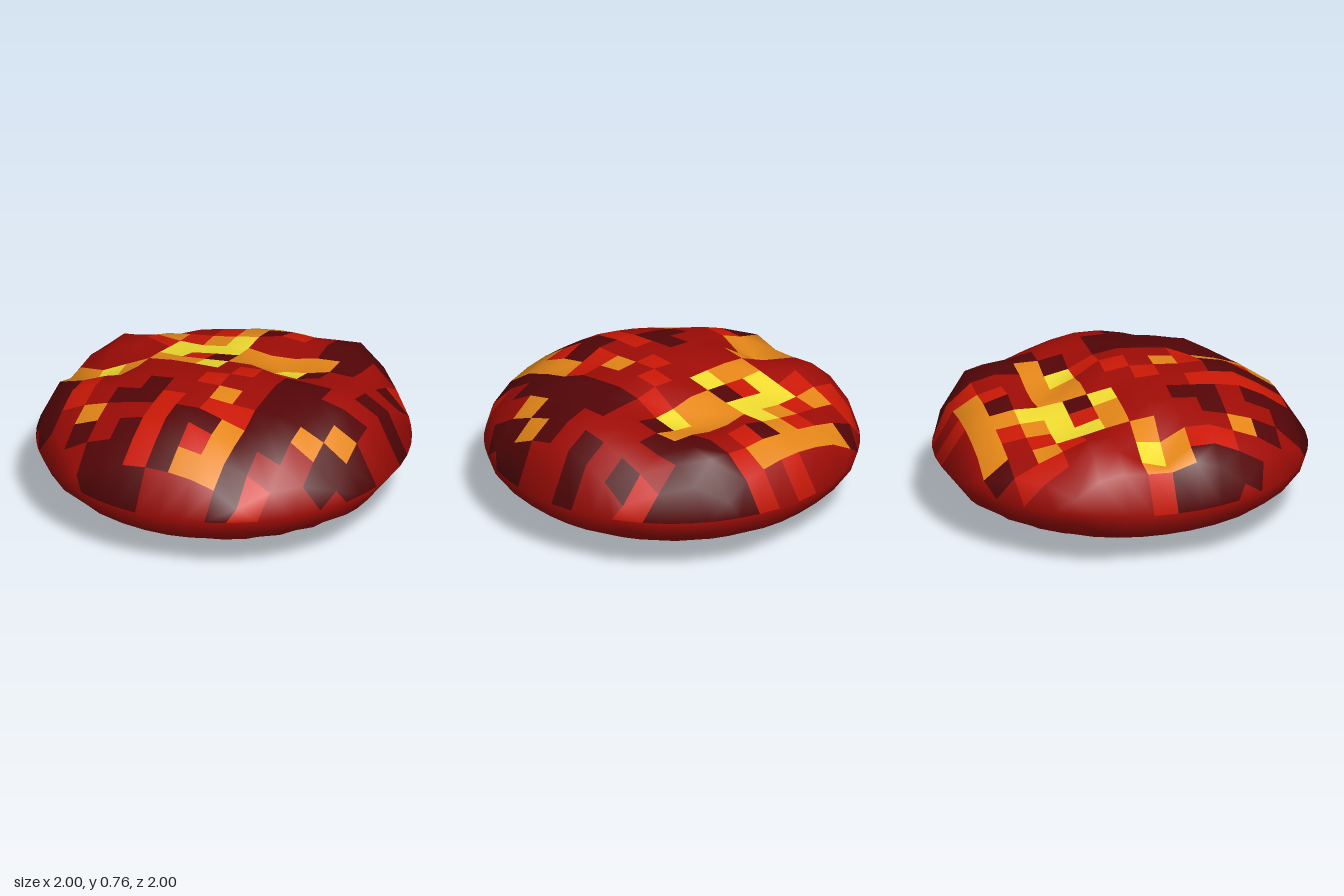
import * as THREE from 'three';

const N = 15;            // cells per side
const RIM = 0.34;        // height of the rim
const TOP = 0.42;        // rise of the crust above the rim

// One letter per crust cell, back row first: d dark, r red, b bright, o orange, y yellow
const PATTERN = [
  'rrrrrrrbrbddddd',
  'rrrdooooobddddd',
  'rrbrrbodbrddddd',
  'rrboboyrrrddrbb',
  'rrrbyyyoooodrdr',
  'rrrrybdooydrrrr',
  'rrrrooyrrbrrrdd',
  'boyorrrrbrddrrr',
  'doorrrrbrrddddr',
  'ddbrrdrrordddod',
  'ddbrddbrbbddodd',
  'rdrorrbddoddrdr',
  'rrrdrdbdbodrrrr',
  'rrrrddbdoodbrrr',
  'rrrrdddrrrdbrrr',
];
const COLORS = {
  d: ['darkCrust', 0x540507],
  r: ['redCrust', 0xa00c06],
  b: ['brightCrust', 0xcc1806],
  o: ['orangeGlow', 0xe68718],
  y: ['yellowGlow', 0xf3de30],
};

// Dents and swellings of the crust: x, z, height, radius
const BUMPS = [
  [-0.3, -0.38, -0.11, 0.24], [0.27, -0.27, -0.1, 0.14], [-0.7, 0.03, -0.14, 0.1],
  [-0.07, -0.1, -0.03, 0.1], [0.5, -0.72, 0.1, 0.13], [0.8, 0.0, 0.065, 0.24],
  [0.04, 0.57, 0.05, 0.11], [0.48, 0.45, 0.06, 0.11], [-0.2, 0.6, 0.025, 0.12],
  [0.33, 0.5, -0.05, 0.08], [-0.7, -0.33, 0.065, 0.12], [0.2, -0.04, 0.03, 0.1],
  [0.08, -0.62, 0.03, 0.07], [0.1, -0.42, -0.07, 0.11], [-0.86, 0.25, 0.05, 0.1],
  [-0.6, 0.27, 0.025, 0.08],
];

const isOutside = (x, z) => x * x + z * z >= 1;

function crustHeight(x, z) {
  const dome = Math.sqrt(1 - x * x - z * z);
  let y = RIM + TOP * dome;
  for (const [bx, bz, h, s] of BUMPS) {
    y += h * Math.exp(-((x - bx) ** 2 + (z - bz) ** 2) / (2 * s * s)) * Math.min(1, dome * 2.2);
  }
  return y;
}
const baseHeight = (x, z) => RIM - RIM * Math.sqrt(1 - x * x - z * z);

// Square grid whose outer points are pulled in to the round rim
function makeGrid(heightAt, faceUp) {
  const positions = [];
  const cells = [];
  const outside = [];
  for (let j = 0; j <= N; j++) {
    for (let i = 0; i <= N; i++) {
      const x = (2 * i) / N - 1, z = (2 * j) / N - 1, r = Math.hypot(x, z);
      const out = isOutside(x, z);
      outside.push(out);
      if (out) positions.push(x / r, RIM, z / r);
      else positions.push(x, heightAt(x, z), z);
    }
  }
  for (let j = 0; j < N; j++) {
    for (let i = 0; i < N; i++) {
      const a = j * (N + 1) + i, b = a + 1, c = a + N + 1, d = c + 1;
      if ([a, b, c, d].every((k) => outside[k])) continue;
      // The diagonal follows the rim where the cell meets it
      const up = outside[a] || outside[d] ? [a, c, b, b, c, d] : [a, c, d, a, d, b];
      cells.push({ key: PATTERN[j][i], index: faceUp ? up : up.reverse() });
    }
  }
  const geometry = new THREE.BufferGeometry();
  geometry.setAttribute('position', new THREE.Float32BufferAttribute(positions, 3));
  geometry.setIndex(cells.flatMap((cell) => cell.index));
  geometry.computeVertexNormals();
  // Rim and underside take the normals of a flattened ball, so crust and base blend
  const normal = new THREE.Vector3();
  outside.forEach((out, k) => {
    if (faceUp && !out) return;
    normal.fromArray(positions, 3 * k);
    normal.y = (normal.y - RIM) / (RIM * RIM);
    normal.normalize();
    geometry.attributes.normal.setXYZ(k, normal.x, normal.y, normal.z);
  });
  return { geometry, cells };
}

function makeMesh(name, geometry, color) {
  const mesh = new THREE.Mesh(geometry, new THREE.MeshStandardMaterial({ color }));
  mesh.name = name;
  return mesh;
}

export function createModel() {
  const group = new THREE.Group();
  group.name = 'moltenRock';

  // Crust: one mesh per colour, sharing points and smooth normals
  const crust = new THREE.Group();
  crust.name = 'crust';
  const top = makeGrid(crustHeight, true);
  for (const [key, [name, color]] of Object.entries(COLORS)) {
    const part = new THREE.BufferGeometry();
    part.setAttribute('position', top.geometry.attributes.position);
    part.setAttribute('normal', top.geometry.attributes.normal);
    part.setIndex(top.cells.filter((cell) => cell.key === key).flatMap((cell) => cell.index));
    crust.add(makeMesh(name, part, color));
  }
  group.add(crust);

  // Rounded underside
  group.add(makeMesh('base', makeGrid(baseHeight, false).geometry, COLORS.r[1]));
  return group;
}
